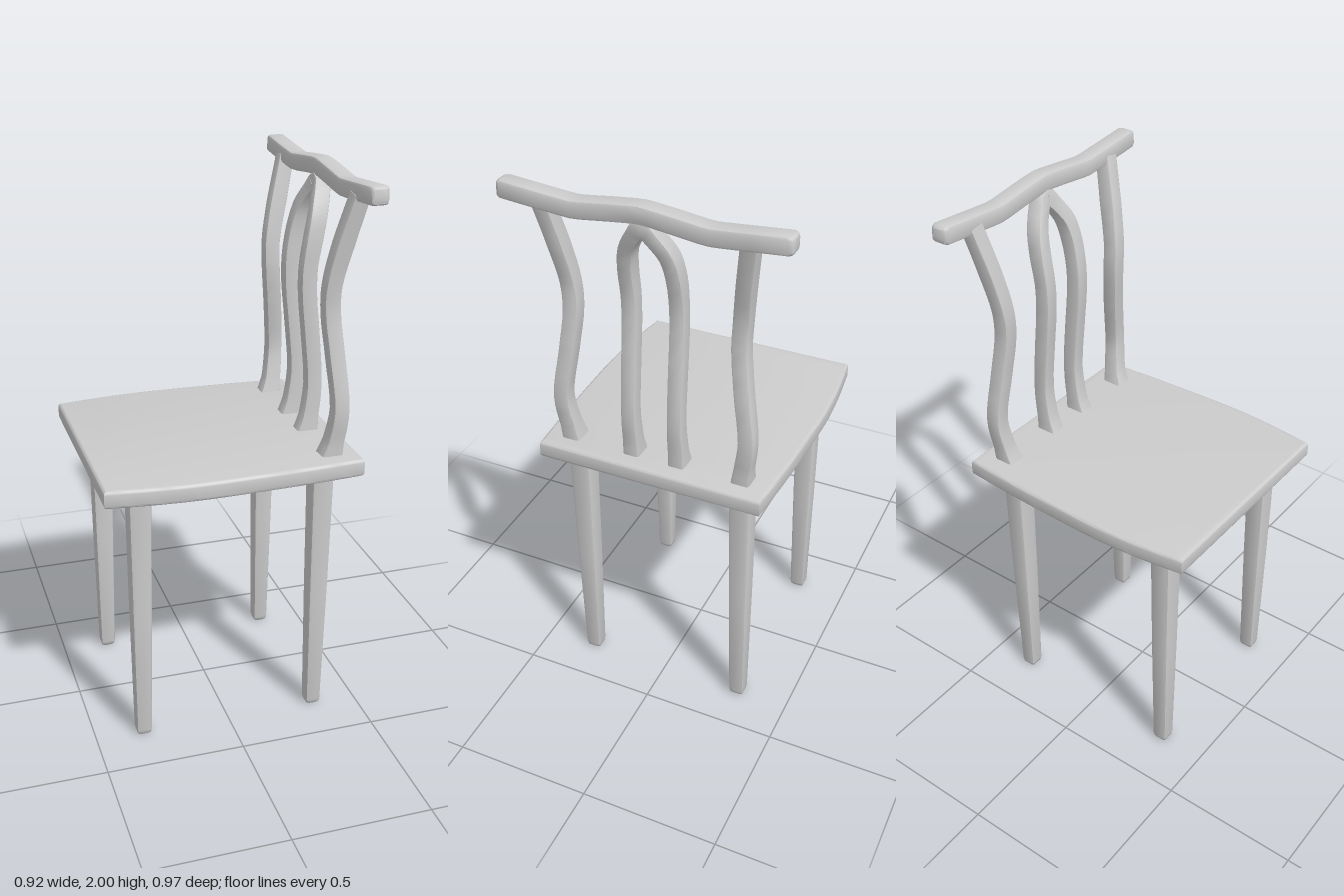
import * as THREE from 'three';
import { toCreasedNormals } from 'three/addons/utils/BufferGeometryUtils.js';

const material = new THREE.MeshStandardMaterial({ color: 0xcccccc });

function addMesh(group, name, geometry) {
  const mesh = new THREE.Mesh(toCreasedNormals(geometry, 0.7), material);
  mesh.name = name;
  group.add(mesh);
}

// Sweeps a chamfered rectangle along stations [x, y, z, halfX, halfW];
// steps > 1 smooths the path between stations.
function sweep(stations, steps = 1, chamfer = 0.3) {
  const curve = new THREE.CatmullRomCurve3(stations.map(s => new THREE.Vector3(s[0], s[1], s[2])));
  const spans = stations.length - 1, count = spans * steps;
  const points = [];
  for (let i = 0; i <= count; i++) points.push(curve.getPoint(i / count));

  const c = 1 - chamfer, m = 1 - chamfer * 0.3;
  const section = [];
  for (const [sx, sw] of [[1, 1], [-1, 1], [-1, -1], [1, -1]]) {
    const corner = [[1, c], [m, m], [c, 1]].map(([a, b]) => [a * sx, b * sw]);
    section.push(...(sx * sw > 0 ? corner : corner.reverse()));
  }
  const n = section.length, position = [], index = [];
  const xAxis = new THREE.Vector3(1, 0, 0);
  points.forEach((p, i) => {
    const tangent = points[Math.min(i + 1, count)].clone().sub(points[Math.max(i - 1, 0)]);
    tangent.x = 0;
    const w = tangent.normalize().cross(xAxis);
    const u = i / steps, k = Math.min(Math.floor(u), spans - 1);
    const hx = THREE.MathUtils.lerp(stations[k][3], stations[k + 1][3], u - k);
    const hw = THREE.MathUtils.lerp(stations[k][4], stations[k + 1][4], u - k);
    for (const [a, b] of section) position.push(p.x + a * hx, p.y + w.y * b * hw, p.z + w.z * b * hw);
  });
  for (let i = 0; i < count; i++) {
    for (let j = 0; j < n; j++) {
      const a = i * n + j, b = i * n + (j + 1) % n;
      index.push(a, b, b + n, a, b + n, a + n);
    }
  }
  // end caps
  for (let j = 1; j < n - 1; j++) {
    index.push(0, j + 1, j);
    index.push(count * n, count * n + j, count * n + j + 1);
  }
  const geometry = new THREE.BufferGeometry();
  geometry.setAttribute('position', new THREE.Float32BufferAttribute(position, 3));
  geometry.setIndex(index);
  return geometry;
}

// Seat board with gently bowed sides and rounded edges
function seatGeometry() {
  const bevel = 0.012;
  const side = [[-0.458, 0.405], [-0.3, 0.424], [-0.12, 0.434], [0.15, 0.428], [0.32, 0.42], [0.458, 0.41]]
    .map(([x, z]) => new THREE.Vector2(x * (1 - bevel / 0.458), z - bevel));
  const edge = new THREE.SplineCurve(side).getPoints(20);
  const mirrored = edge.map(p => new THREE.Vector2(p.x, -p.y)).reverse();
  const geometry = new THREE.ExtrudeGeometry(new THREE.Shape([...mirrored, ...edge]), {
    depth: 0.064 - 2 * bevel, bevelThickness: bevel, bevelSize: bevel, bevelSegments: 3,
  });
  geometry.rotateX(-Math.PI / 2);
  geometry.translate(0, 0.975 + bevel, -0.003);
  return geometry;
}

export function createModel() {
  const group = new THREE.Group();
  group.name = 'chair';
  addMesh(group, 'seat', seatGeometry());

  // Tapered legs with eased feet
  for (const [x, end] of [[-0.323, 'front'], [0.335, 'back']]) {
    for (const s of [1, -1]) {
      const z = s * 0.305;
      addMesh(group, end + (s > 0 ? 'LeftLeg' : 'RightLeg'), sweep([
        [x, 0, z, 0.02, 0.02], [x, 0.006, z, 0.025, 0.025], [x, 0.02, z, 0.028, 0.028],
        [x, 0.5, z, 0.035, 0.035], [x, 0.985, z, 0.04, 0.04],
      ]));
    }
  }

  // Serpentine outer posts: [x, y, z, halfX, halfW]
  const post = [
    [0.358, 1.02, 0.314, 0.042, 0.035], [0.372, 1.09, 0.323, 0.031, 0.03],
    [0.383, 1.21, 0.338, 0.028, 0.028], [0.368, 1.39, 0.314, 0.029, 0.028],
    [0.352, 1.54, 0.297, 0.029, 0.028], [0.351, 1.64, 0.301, 0.029, 0.028],
    [0.377, 1.78, 0.319, 0.032, 0.028], [0.417, 1.95, 0.347, 0.029, 0.028],
  ];
  for (const s of [1, -1]) {
    addMesh(group, s > 0 ? 'leftPost' : 'rightPost',
      sweep(post.map(([x, y, z, a, b]) => [x, y, s * z, a, b]), 4));
  }

  // Pointed arch of two inner spindles meeting under the rail
  const spindle = [
    [0.358, 1.02, 0.084, 0.042, 0.031], [0.372, 1.09, 0.084, 0.031, 0.028],
    [0.383, 1.21, 0.084, 0.028, 0.026], [0.368, 1.39, 0.084, 0.029, 0.026],
    [0.352, 1.54, 0.084, 0.029, 0.026], [0.351, 1.64, 0.084, 0.029, 0.026],
    [0.366, 1.74, 0.083, 0.031, 0.026], [0.384, 1.82, 0.07, 0.031, 0.026],
    [0.405, 1.882, 0.035, 0.03, 0.026],
  ];
  addMesh(group, 'spindleArch', sweep([
    ...spindle, [0.417, 1.922, 0, 0.028, 0.03],
    ...spindle.map(([x, y, z, a, b]) => [x, y, -z, a, b]).reverse(),
  ], 3));

  // Wavy top rail with rounded ends: [z, y, size]
  const half = [
    [0.485, 1.967, 0.66], [0.481, 1.967, 0.86], [0.47, 1.966, 1], [0.36, 1.956, 1],
    [0.26, 1.947, 1], [0.23, 1.945, 1], [0.2, 1.947, 1], [0.1, 1.96, 1], [0.03, 1.968, 1],
  ];
  const rail = [...half, [0, 1.97, 1], ...half.map(([z, y, k]) => [-z, y, k]).reverse()];
  addMesh(group, 'topRail', sweep(rail.map(([z, y, k]) => [0.423, y, z, 0.033 * k, 0.031 * k]), 1, 0.35));
  return group;
}
